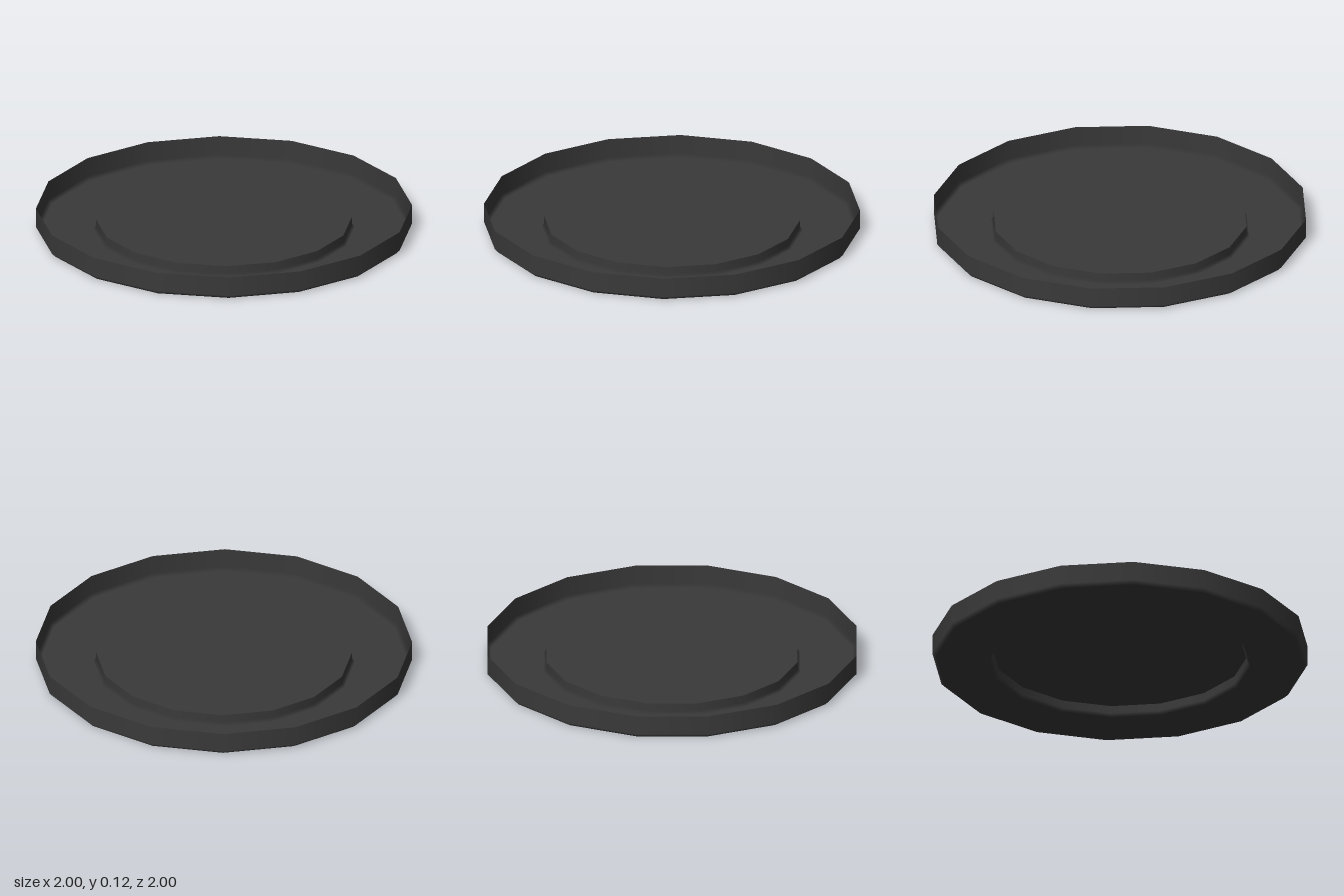
import * as THREE from 'three';

const SIDES = 16;

// Revolve rows of [radius, height, normal outward, normal up]; flat areas stay flat, bevels shade softly.
function revolve(name, rows, material) {
  const geometry = new THREE.LatheGeometry(rows.map(([r, y]) => new THREE.Vector2(r, y)), SIDES);
  const normal = geometry.attributes.normal;
  for (let i = 0; i < normal.count; i++) {
    const [, , out, up] = rows[i % rows.length];
    const angle = Math.floor(i / rows.length) / SIDES * Math.PI * 2;
    normal.setXYZ(i, out * Math.sin(angle), up, out * Math.cos(angle));
  }
  const mesh = new THREE.Mesh(geometry, material);
  mesh.name = name;
  return mesh;
}

export function createModel() {
  const group = new THREE.Group();
  group.name = 'tray';
  const material = new THREE.MeshStandardMaterial({ color: 0x3a3a3a, side: THREE.DoubleSide });

  // Raised centre, hollow underneath
  group.add(revolve('raisedCentre', [
    [0, 0.06, 0, -1],
    [0.68, 0.06, 0, -1],
  ], material));

  // Step from the raised centre down to the floor, bevelled at its foot
  group.add(revolve('centreStep', [
    [0.68, 0.06, -1, 0],
    [0.68, 0.018, -1, 0],
    [0.695, 0, 0, -1],
  ], material));

  // Thin floor, bevel and upright rim
  group.add(revolve('floorAndRim', [
    [0.695, 0, 0, -1],
    [0.98, 0, 0, -1],
    [1, 0.02, 1, 0],
    [1, 0.125, 1, 0],
  ], material));

  return group;
}
